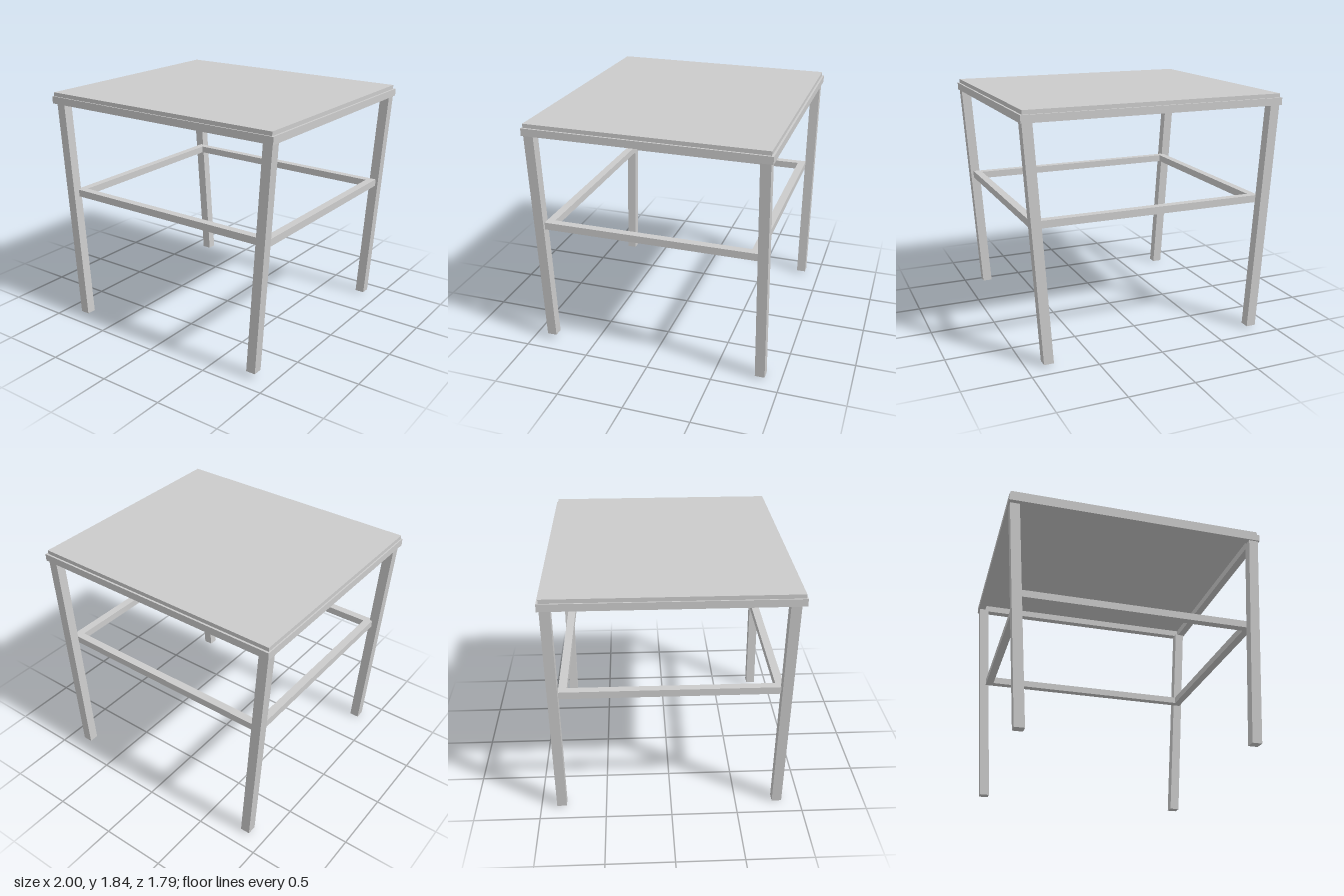
import * as THREE from 'three';

const material = new THREE.MeshStandardMaterial({ color: 0xcccccc, flatShading: true });

// Box given by its lower and upper corners
function box(name, [x0, y0, z0], [x1, y1, z1]) {
  const geometry = new THREE.BoxGeometry(x1 - x0, y1 - y0, z1 - z0);
  geometry.translate((x0 + x1) / 2, (y0 + y1) / 2, (z0 + z1) / 2);
  const mesh = new THREE.Mesh(geometry, material);
  mesh.name = name;
  return mesh;
}

// Rectangular ring of four bars
function ring(name, x0, x1, z0, z1, y0, y1, width) {
  const group = new THREE.Group();
  group.name = name;
  group.add(
    box(name + 'Front', [x0, y0, z1 - width], [x1, y1, z1]),
    box(name + 'Back', [x0, y0, z0], [x1, y1, z0 + width]),
    box(name + 'Left', [x1 - width, y0, z0 + width], [x1, y1, z1 - width]),
    box(name + 'Right', [x0, y0, z0 + width], [x0 + width, y1, z1 - width])
  );
  return group;
}

// Square leg leaning outwards, cut level at both ends
function leg(name, side, z, bottom) {
  const size = 0.074, top = 1.755;
  const geometry = new THREE.BoxGeometry(size, top - bottom, size);
  geometry.translate(0, (top + bottom) / 2, z);
  const p = geometry.attributes.position;
  for (let i = 0; i < p.count; i++) {
    p.setX(i, p.getX(i) + side * (0.836 + 0.066 * p.getY(i)));
  }
  geometry.computeVertexNormals();
  const mesh = new THREE.Mesh(geometry, material);
  mesh.name = name;
  return mesh;
}

export function createModel() {
  const table = new THREE.Group();
  table.name = 'table';

  // Thin top resting on an open frame
  table.add(box('tableTop', [-0.99, 1.805, -0.88], [0.985, 1.835, 0.885]));
  table.add(ring('topFrame', -1, 1, -0.895, 0.895, 1.75, 1.805, 0.06));

  // Legs, each standing at its own slightly uneven height
  table.add(
    leg('frontLeftLeg', 1, 0.846, 0.045),
    leg('frontRightLeg', -1, 0.823, 0),
    leg('backLeftLeg', 1, -0.842, 0.012),
    leg('backRightLeg', -1, -0.842, 0.012)
  );

  // Stretcher ring halfway up the legs
  table.add(ring('stretcher', -0.89, 0.92, -0.807, 0.81, 1.0, 1.055, 0.06));
  return table;
}
